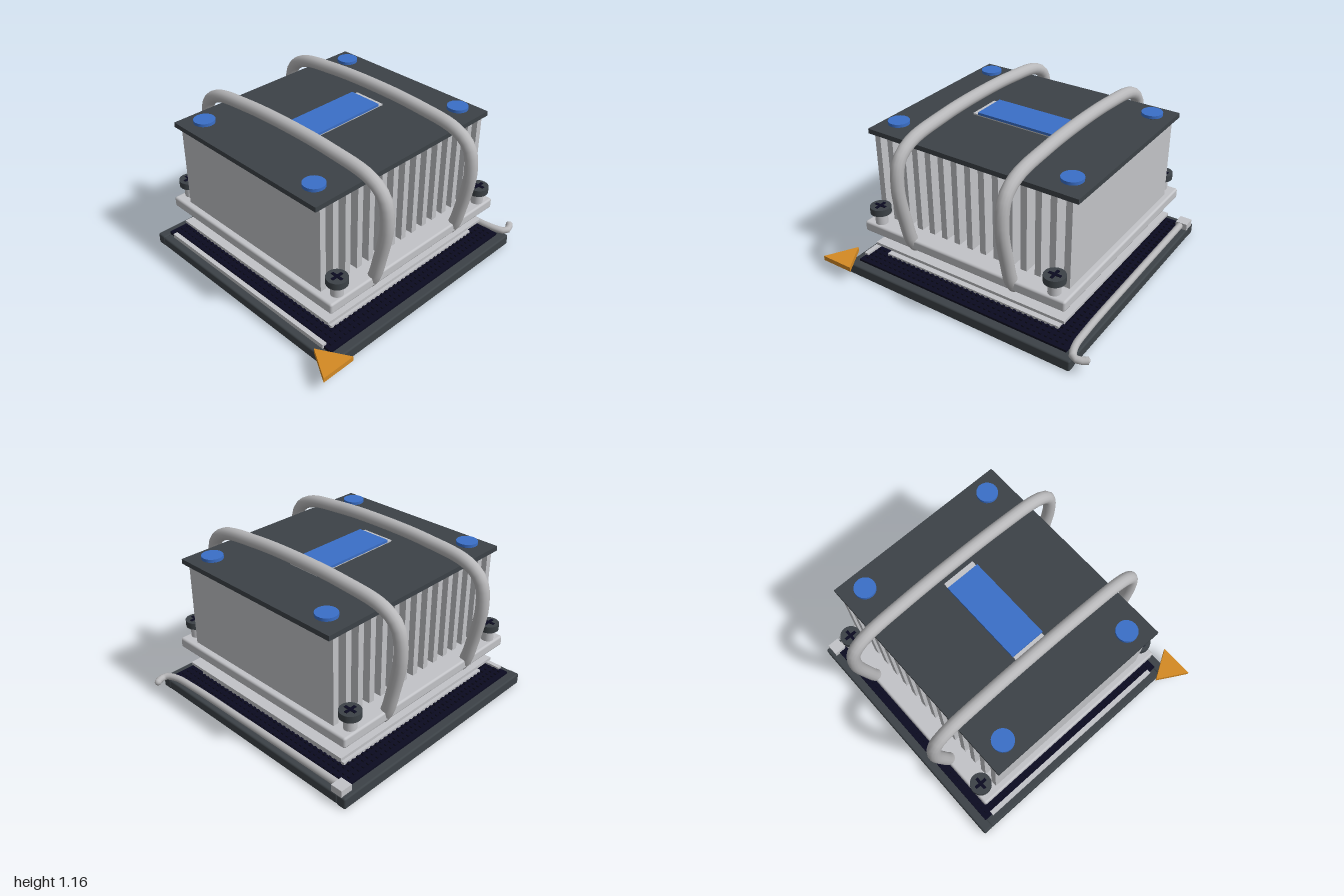
import * as THREE from 'three';
import { mergeGeometries } from 'three/addons/utils/BufferGeometryUtils.js';
import { RoundedBoxGeometry } from 'three/addons/geometries/RoundedBoxGeometry.js';

const mat = (name, color) => {
  const m = new THREE.MeshStandardMaterial({ color });
  m.name = name;
  return m;
};

export function createModel() {
  const dark = mat('dark grey', 0x3c4247);
  const navy = mat('near-black navy', 0x0b0b20);
  const silver = mat('light aluminium', 0xc2c3c7);
  const steel = mat('pipe grey', 0xb8b8ba);
  const green = mat('board green', 0x0f4f2c);
  const blue = mat('blue', 0x3a6fc8);
  const gold = mat('gold', 0xd48a24);

  const root = new THREE.Group();
  root.name = 'cooler';
  // Everything but the marker arrow is symmetric about this centre
  const body = new THREE.Group();
  body.name = 'body';
  body.position.set(0.017, 0, -0.04);
  root.add(body);

  const add = (name, geo, material, x = 0, y = 0, z = 0, parent = body) => {
    const mesh = new THREE.Mesh(geo, material);
    mesh.name = name;
    mesh.position.set(x, y, z);
    parent.add(mesh);
    return mesh;
  };
  // Box given by its width, depth and bottom/top heights; r rounds the edges
  const slab = (name, material, w, d, y0, y1, x = 0, z = 0, r = 0) => {
    const geo = r ? new RoundedBoxGeometry(w, y1 - y0, d, 2, r) : new THREE.BoxGeometry(w, y1 - y0, d);
    return add(name, geo, material, x, (y0 + y1) / 2, z);
  };
  const disc = (name, material, r, y0, y1, x, z, sides = 24) =>
    add(name, new THREE.CylinderGeometry(r, r, y1 - y0, sides), material, x, (y0 + y1) / 2, z);

  // Socket: contact bed inside a frame of four bars
  slab('socketBed', navy, 1.64, 1.64, 0.008, 0.095);
  for (const s of [-1, 1]) {
    slab('frameBarX', dark, 1.76, 0.07, 0, 0.08, 0, s * 0.845, 0.012);
    slab('frameBarZ', dark, 0.07, 1.63, 0.004, 0.076, s * 0.845, 0, 0.012);
  }

  // Rows of tiny contacts around the processor
  const contacts = [];
  for (let i = -19; i <= 19; i++) {
    for (let j = -19; j <= 19; j++) {
      if (Math.max(Math.abs(i), Math.abs(j)) < 16) continue;
      contacts.push(new THREE.BoxGeometry(0.018, 0.012, 0.018).translate(i * 0.041, 0.1, j * 0.041));
    }
  }
  add('contacts', mergeGeometries(contacts), navy);

  // Processor: carrier, board, small parts, lid
  slab('carrier', silver, 1.37, 1.37, 0.095, 0.114);
  slab('board', green, 1.29, 1.29, 0.114, 0.146);
  for (let i = -3; i <= 3; i++) {
    for (const s of [-1, 1]) {
      slab('capacitor', navy, 0.05, 0.03, 0.146, 0.161, i * 0.15, s * 0.6);
      slab('capacitor', navy, 0.03, 0.05, 0.146, 0.161, s * 0.6, i * 0.15);
    }
  }
  slab('processorLid', silver, 1.13, 1.13, 0.146, 0.186);
  slab('clampPlate', silver, 1.49, 1.44, 0.186, 0.206);
  slab('lidNeck', silver, 0.99, 0.99, 0.206, 0.24);
  slab('contactBlock', silver, 1.075, 1.075, 0.235, 0.312, 0, 0, 0.012);
  slab('blockNeck', silver, 0.98, 0.98, 0.31, 0.33);

  // Heat sink: base, fins, cover
  slab('sinkBase', silver, 1.55, 1.55, 0.322, 0.396, 0, 0, 0.015);
  for (let i = -7; i <= 7; i++) slab('fin', silver, 0.043, 1.29, 0.39, 1.0, i * 0.1015, 0);
  slab('cover', dark, 1.55, 1.315, 0.998, 1.031);

  // Badge and corner buttons on the cover
  slab('badgeBase', silver, 0.69, 0.235, 1.031, 1.041);
  slab('badge', blue, 0.605, 0.245, 1.041, 1.058);
  for (const sx of [-1, 1]) {
    for (const sz of [-1, 1]) {
      disc('buttonStem', dark, 0.045, 1.03, 1.045, sx * 0.645, sz * 0.508);
      disc('button', blue, 0.071, 1.045, 1.066, sx * 0.645, sz * 0.508);
    }
  }

  // Corner screws with cross recesses
  for (const sx of [-1, 1]) {
    for (const sz of [-1, 1]) {
      const x = sx * 0.672, z = sz * 0.72;
      disc('screwPost', silver, 0.042, 0.39, 0.48, x, z, 20);
      disc('screwHead', dark, 0.07, 0.477, 0.523, x, z);
      slab('screwSlot', navy, 0.085, 0.02, 0.52, 0.527, x, z);
      slab('screwSlot', navy, 0.02, 0.085, 0.52, 0.527, x, z);
    }
  }

  // Two heat pipes looping from under the base over the cover
  const half = [[0.63, 0.3], [0.69, 0.302], [0.745, 0.36], [0.795, 0.54], [0.84, 0.8],
    [0.81, 0.98], [0.7, 1.065], [0.38, 1.11]];
  const loop = [...half.map(([z, y]) => [z, y]), [0, 1.123],
    ...half.slice().reverse().map(([z, y]) => [-z, y])];
  const pipePath = new THREE.CatmullRomCurve3(loop.map(([z, y]) => new THREE.Vector3(0, y, z)));
  for (const s of [-1, 1]) {
    add('heatPipe', new THREE.TubeGeometry(pipePath, 64, 0.043, 14), steel, s * 0.388);
    for (const e of [-1, 1]) {
      add('heatPipeEnd', new THREE.SphereGeometry(0.043, 14, 10), steel, s * 0.388, 0.3, e * 0.63);
    }
  }

  // Locking lever on the left, its hinge block, and the rail opposite
  const leverPath = new THREE.CatmullRomCurve3([
    [0.825, 0.1, -0.8], [0.828, 0.1, 0], [0.835, 0.1, 0.6], [0.85, 0.1, 0.77],
    [0.885, 0.095, 0.845], [0.93, 0.093, 0.845], [0.975, 0.095, 0.82],
  ].map((p) => new THREE.Vector3(...p)));
  add('lever', new THREE.TubeGeometry(leverPath, 48, 0.024, 12), steel);
  add('leverTip', new THREE.SphereGeometry(0.024, 12, 8), steel, 0.962, 0.095, 0.826);
  slab('leverHinge', silver, 0.085, 0.085, 0.075, 0.125, 0.835, -0.81);
  slab('sideRail', silver, 0.032, 1.52, 0.08, 0.11, -0.815, 0);

  // Alignment arrows: one at the socket corner, one on the board
  const arrow = (name, r, y0, y1, x, z) => {
    const shape = disc(name, gold, r, y0, y1, x, z, 3);
    shape.rotation.y = Math.PI;
    shape.geometry = shape.geometry.toNonIndexed();
    shape.geometry.computeVertexNormals();
  };
  arrow('socketArrow', 0.139, 0.09, 0.124, -0.895, 0.891);
  arrow('boardArrow', 0.09, 0.146, 0.166, -0.575, 0.588);

  return root;
}
